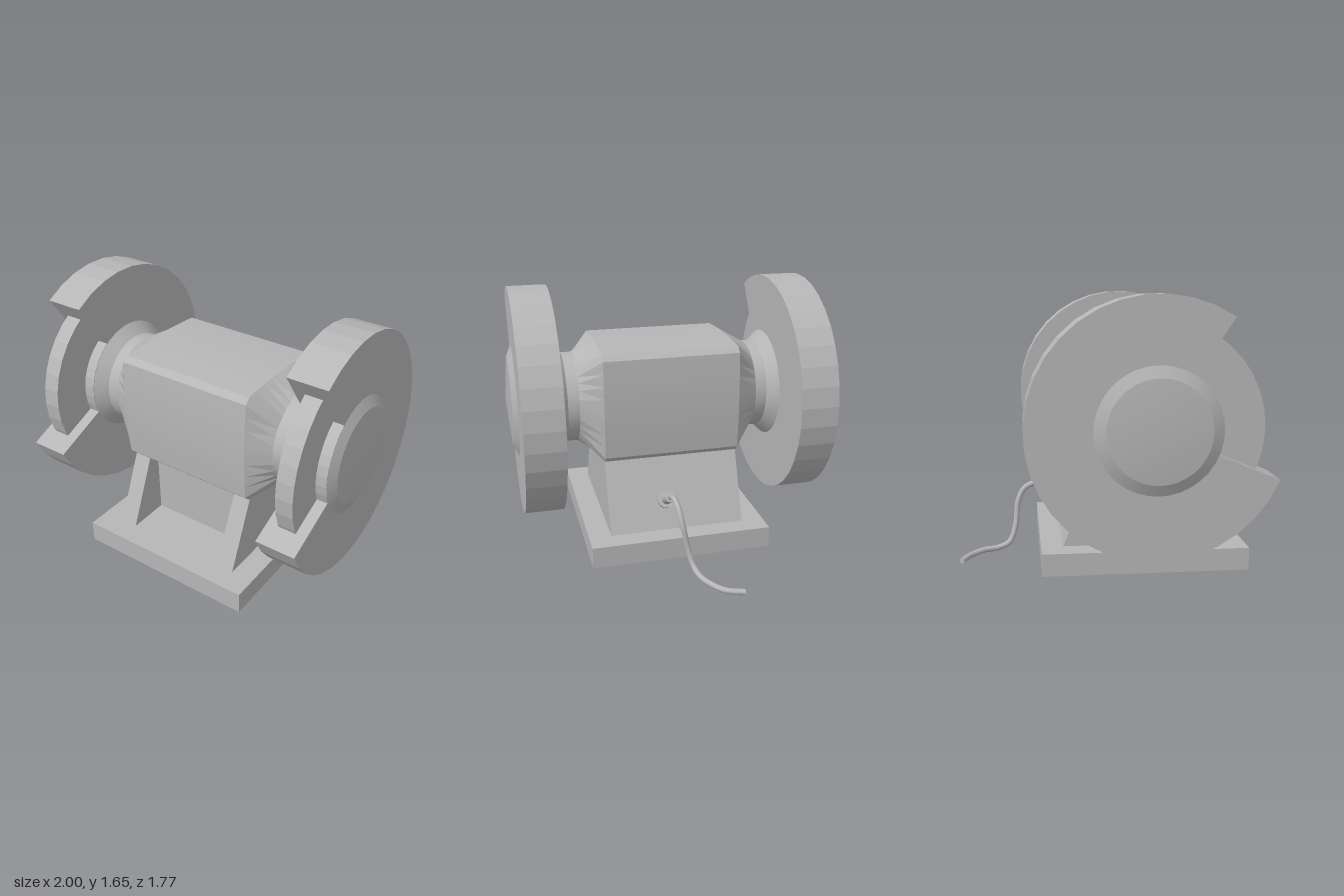
import * as THREE from 'three';
import { toCreasedNormals } from 'three/addons/utils/BufferGeometryUtils.js';

const CY = 0.935, CZ = 0.225; // shaft axis

export function createModel() {
  const model = new THREE.Group();
  const grey = new THREE.MeshStandardMaterial({ color: 0xb6b6b6 });
  grey.name = 'castGrey';

  const add = (name, geo, crease = 0.1) => {
    const mesh = new THREE.Mesh(toCreasedNormals(geo, crease), grey);
    mesh.name = name;
    model.add(mesh);
    return mesh;
  };
  const box = (name, x0, x1, y0, y1, z0, z1) =>
    add(name, new THREE.BoxGeometry(x1 - x0, y1 - y0, z1 - z0)
      .translate((x0 + x1) / 2, (y0 + y1) / 2, (z0 + z1) / 2));
  // Side profile given as [z, y], extruded from x0 to x1
  const slab = (name, pts, x0, x1) => {
    const shape = new THREE.Shape(pts.map(p => new THREE.Vector2(p[0], p[1])));
    const geo = new THREE.ExtrudeGeometry(shape, { depth: x1 - x0, bevelEnabled: false });
    return add(name, geo.rotateY(-Math.PI / 2).translate(x1, 0, 0));
  };
  // Profile given as [x, radius] turned about the shaft, mirrored for side -1
  const spin = (name, pts, side, crease = 0.25) => {
    const p = pts.map(([x, r]) => new THREE.Vector2(r, x * side));
    if (side < 0) p.reverse();
    const geo = new THREE.LatheGeometry(p, 36).rotateZ(-Math.PI / 2);
    return add(name, geo.translate(0, CY, CZ), crease);
  };

  // Base and pedestal
  box('basePlate', -0.57, 0.57, 0.02, 0.155, -0.39, 0.84);
  const foot = [[0.71, 0.15], [0.49, 0.66], [-0.045, 0.66], [-0.26, 0.15]];
  slab('rightPedestalRib', foot, -0.43, -0.32);
  slab('leftPedestalRib', foot, 0.32, 0.43);
  slab('pedestalCore', [[0.45, 0.15], [0.45, 0.66], [-0.045, 0.66], [-0.26, 0.15]], -0.32, 0.32);
  box('frontPanel', -0.275, 0.27, 0.25, 0.55, 0.448, 0.457);

  // Motor housing: slightly bulged square with clipped corners, tapering to round ends
  const section = [];
  for (let side = 0; side < 4; side++) {
    const a = side * Math.PI / 2;
    for (let i = 0; i <= 8; i++) {
      const t = i / 4 - 1, u = 0.36 - 0.014 * t * t, v = 0.312 * t;
      section.push([u * Math.cos(a) - v * Math.sin(a), u * Math.sin(a) + v * Math.cos(a)]);
    }
  }
  const round = section.map(([z, y]) => {
    const k = 0.285 / Math.hypot(z, y);
    return [z * k, y * k];
  });
  const rings = [[-0.57, round], [-0.43, section], [0.43, section], [0.57, round]];
  const pos = [], index = [], n = section.length;
  for (const [x, ring] of rings) for (const [z, y] of ring) pos.push(x, CY + y, CZ + z);
  for (let r = 0; r < rings.length - 1; r++) {
    for (let i = 0; i < n; i++) {
      const a = r * n + i, b = r * n + (i + 1) % n;
      index.push(a, a + n, b, b, a + n, b + n);
    }
  }
  const housing = new THREE.BufferGeometry();
  housing.setAttribute('position', new THREE.Float32BufferAttribute(pos, 3));
  housing.setIndex(index);
  add('motorHousing', housing, 0.15);

  // Guard outline: disc with a notch open to the front
  const top = 56.4, low = -22.6, guard = [];
  const polar = (r, deg) => {
    const a = deg * Math.PI / 180;
    return [CZ + r * Math.cos(a), CY + r * Math.sin(a)];
  };
  for (let i = 0; i <= 28; i++) guard.push(polar(0.716, top + (360 + low - top) * i / 28));
  for (let i = 0; i <= 8; i++) guard.push(polar(0.352, low + (top - low) * i / 8));

  for (const [side, label] of [[1, 'left'], [-1, 'right']]) {
    slab(label + 'WheelGuard', guard, side > 0 ? 0.705 : -0.945, side > 0 ? 0.945 : -0.705);
    spin(label + 'GrindingWheel', [[0.775, 0.01], [0.775, 0.588], [0.88, 0.588], [0.88, 0.01]], side, 0.1);
    spin(label + 'ShaftNeck', [[0.55, 0.285], [0.64, 0.285], [0.706, 0.35]], side);
    spin(label + 'HubCap', [[0.944, 0.352], [0.975, 0.285], [1, 0]], side);
  }

  // Cord gland on the sloping back, then the cord
  const axis = new THREE.Vector3(0, 0.5, -0.85).normalize();
  const turn = new THREE.Quaternion().setFromUnitVectors(new THREE.Vector3(0, 1, 0), axis);
  const gland = (name, r0, r1, len, y, z) =>
    add(name, new THREE.CylinderGeometry(r1, r0, len, 20).applyQuaternion(turn).translate(0.06, y, z), 0.5);
  gland('cordFlange', 0.055, 0.055, 0.03, 0.335, -0.195);
  gland('cordSleeve', 0.034, 0.03, 0.12, 0.368, -0.25);
  const path = new THREE.CatmullRomCurve3([
    [0.06, 0.375, -0.26], [0.06, 0.415, -0.33], [0.058, 0.43, -0.4], [0.052, 0.4, -0.475],
    [0.04, 0.32, -0.52], [0.01, 0.16, -0.54], [-0.015, 0.06, -0.58], [-0.035, 0.03, -0.65],
    [-0.07, 0.028, -0.74], [-0.14, 0.02, -0.82], [-0.25, 0.022, -0.87],
  ].map(p => new THREE.Vector3(...p)));
  add('powerCord', new THREE.TubeGeometry(path, 60, 0.018, 10), 0.8);
  const end = new THREE.CircleGeometry(0.018, 10);
  end.applyQuaternion(new THREE.Quaternion().setFromUnitVectors(new THREE.Vector3(0, 0, 1), path.getTangent(1)));
  add('cordEnd', end.translate(-0.25, 0.022, -0.87));

  return model;
}
